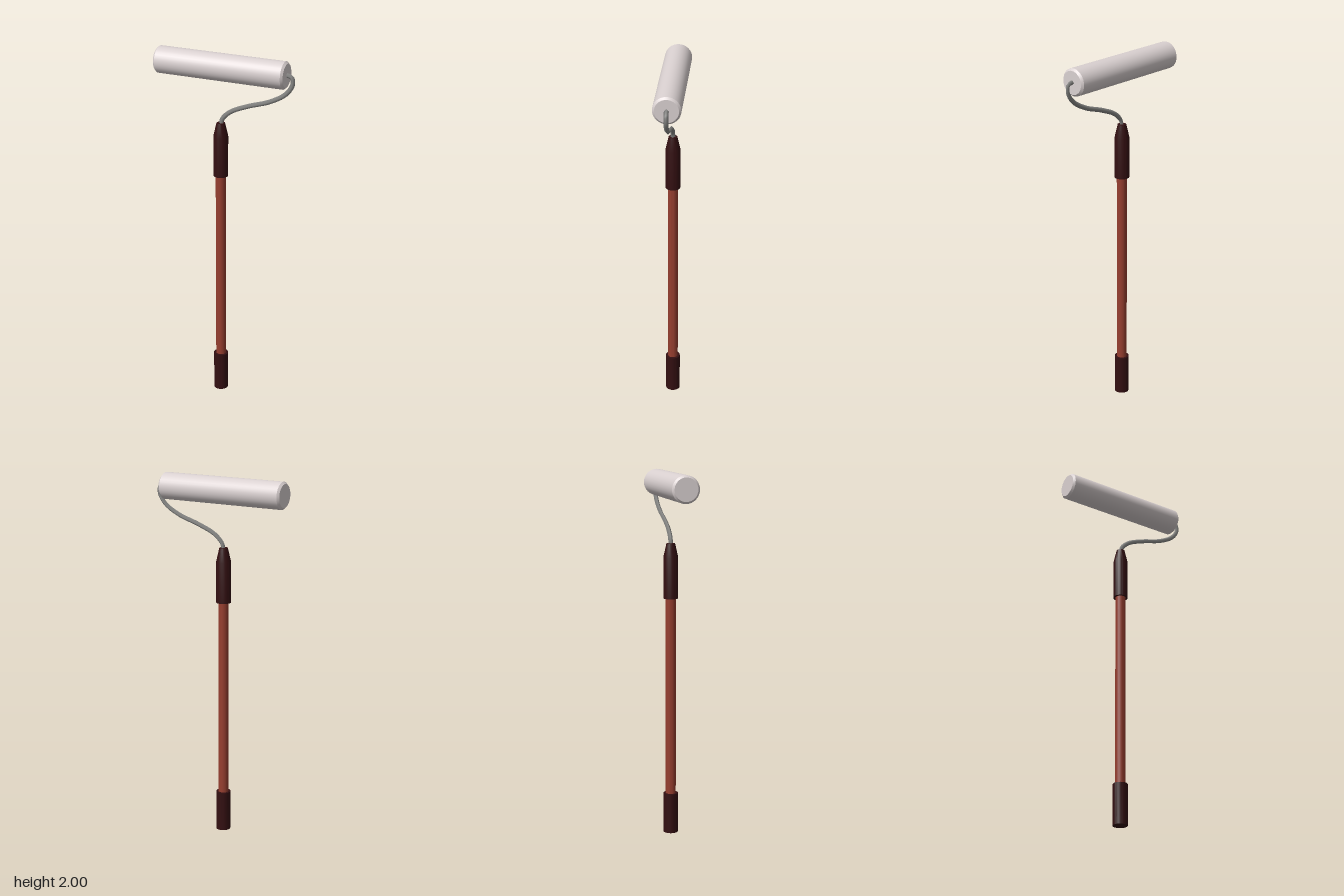
import * as THREE from 'three';
import { toCreasedNormals } from 'three/addons/utils/BufferGeometryUtils.js';

const POLE_X = -0.027, ROLLER_Y = 1.927;

const paint = (name, color) => {
  const material = new THREE.MeshStandardMaterial({ color });
  material.name = name;
  return material;
};

// Solid of revolution from [radius, height] pairs, listed bottom to top
function turned(name, profile, material, sides = 24) {
  const points = profile.map(([r, y]) => new THREE.Vector2(r, y));
  const geometry = toCreasedNormals(new THREE.LatheGeometry(points, sides), 0.45);
  const mesh = new THREE.Mesh(geometry, material);
  mesh.name = name;
  return mesh;
}

export function createModel() {
  const group = new THREE.Group();
  group.name = 'paintRoller';
  const fleece = paint('roller white', 0xdad1d1);
  const steel = paint('wire grey', 0x8a8a88);
  const wood = paint('pole red brown', 0x963e2f);
  const rubber = paint('grip dark maroon', 0x330f11);

  // Pole with a plain grip at the foot and a tapered one at the top
  const handle = new THREE.Group();
  handle.name = 'handle';
  handle.position.x = POLE_X;
  handle.add(
    turned('pole', [[0, 0.2], [0.028, 0.2], [0.028, 1.34], [0, 1.34]], wood),
    turned('bottomGrip', [[0, 0], [0.04, 0], [0.04, 0.225], [0, 0.225]], rubber),
    turned('topGrip', [[0, 1.32], [0.04, 1.32], [0.04, 1.545], [0.023, 1.62], [0, 1.62]], rubber)
  );
  group.add(handle);

  // Roller sleeve with bevelled ends, lying along x
  const roller = turned('roller',
    [[0, -0.366], [0.062, -0.366], [0.073, -0.355], [0.073, 0.355], [0.062, 0.366], [0, 0.366]],
    fleece, 32);
  roller.rotation.z = -Math.PI / 2;
  roller.position.set(-0.024, ROLLER_Y, 0);
  group.add(roller);

  // Bent wire arm from the top grip round to the roller's end
  const path = new THREE.CatmullRomCurve3([
    [POLE_X, 1.6], [-0.018, 1.643], [0.03, 1.69], [0.127, 1.733], [0.25, 1.775],
    [0.336, 1.826], [0.373, 1.88], [0.371, 1.918], [0.352, 1.928], [0.325, 1.928]
  ].map(([x, y]) => new THREE.Vector3(x, y, 0)));
  const wire = new THREE.Mesh(new THREE.TubeGeometry(path, 48, 0.0125, 4), steel);
  wire.name = 'wireArm';
  group.add(wire);

  return group;
}
